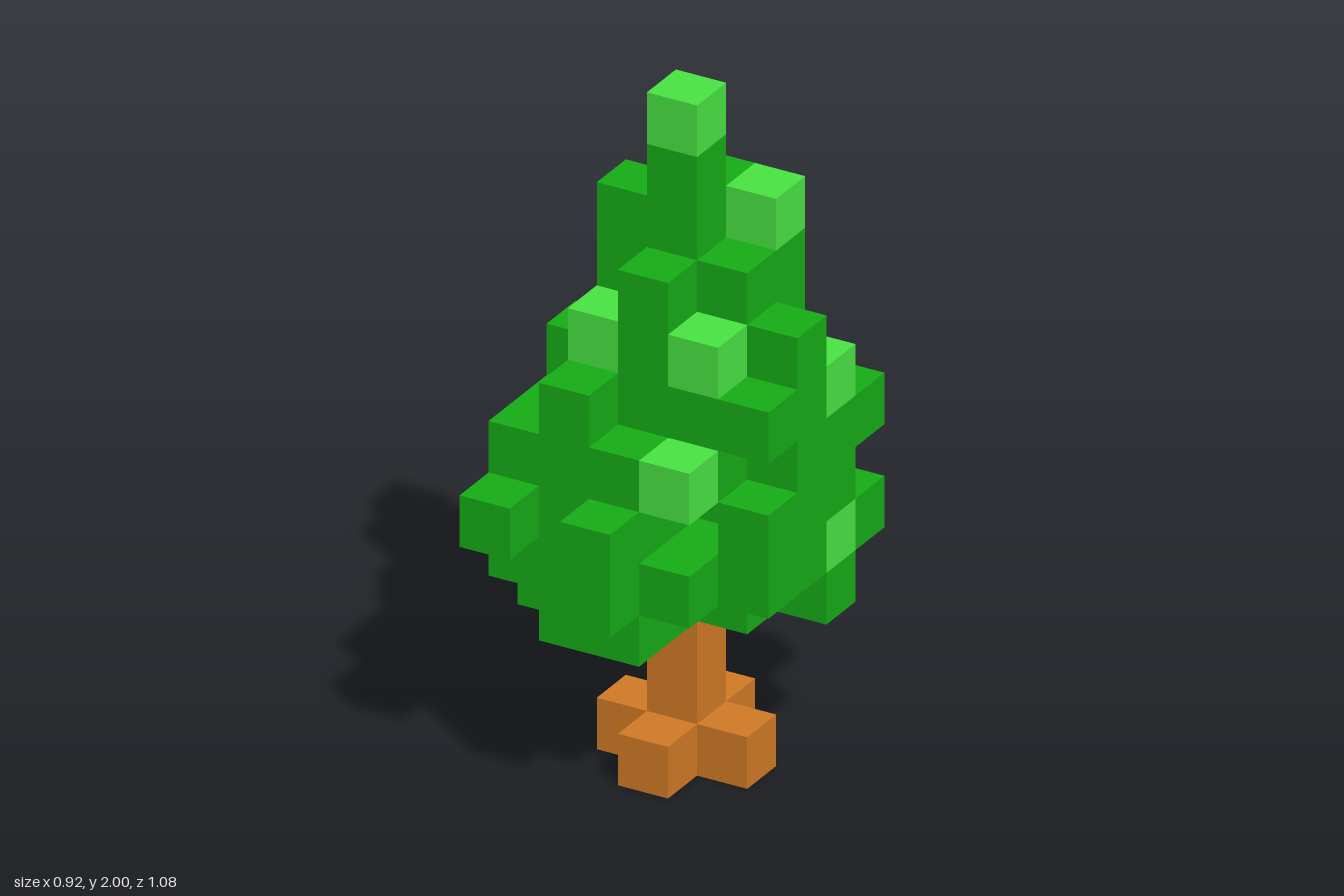
import * as THREE from 'three';
import { mergeGeometries } from 'three/addons/utils/BufferGeometryUtils.js';

const U = 2 / 13; // block size: the tree is 13 blocks tall

// One entry per layer, bottom to top. Rows run back to front, columns run -x to +x.
// B = bark, G = leaf, L = light leaf
const E = '......';
const TRUNK = [E, E, E, '...B..', E, E, E];
const LAYERS = [
  [E, E, '...B..', '..BBB.', '...B..', E, E],
  TRUNK,
  TRUNK,
  [E, '...L..', '.GGGGG', '.GGGG.', '.GGG..', '..GG..', E],
  ['..G...', '.LGGGG', '.GGGGL', 'GGGGGG', '.GGGGG', '.GGGG.', '...G..'],
  [E, '..GLG.', '.GGGGG', '.GGGGG', '.GGG.G', '.GGG..', '.G.G..'],
  [E, '...GGG', '..GGGG', '.LGGGG', '.GGGG.', '.GGGL.', E],
  [E, E, '..GGGL', '.GGGGG', '..GGGG', '..G...', E],
  [E, '..G...', '..GGG.', '..GGGG', '..LGL.', E, E],
  [E, E, '..GGG.', '..GGG.', '...G..', E, E],
  [E, E, '...GL.', '..GG..', E, E, E],
  [E, E, E, '...G..', E, E, E],
  [E, E, E, '...L..', E, E, E],
];

const blockAt = (i, j, k) => LAYERS[j]?.[k]?.[i] ?? '.';

// Block sides: direction and the turn that points a plane that way
const SIDES = [
  [1, 0, 0, 0, Math.PI / 2], [-1, 0, 0, 0, -Math.PI / 2],
  [0, 1, 0, -Math.PI / 2, 0], [0, -1, 0, Math.PI / 2, 0],
  [0, 0, 1, 0, 0], [0, 0, -1, 0, Math.PI],
];

// Joins the exposed sides of all blocks of one kind in the given layers
function blocks(kind, from, to) {
  const faces = [];
  for (let j = from; j <= to; j++) {
    for (let k = 0; k < 7; k++) {
      for (let i = 0; i < 6; i++) {
        if (blockAt(i, j, k) !== kind) continue;
        for (const [dx, dy, dz, rx, ry] of SIDES) {
          if (blockAt(i + dx, j + dy, k + dz) !== '.') continue;
          faces.push(new THREE.PlaneGeometry(U, U).rotateX(rx).rotateY(ry).translate(
            (i - 2.5 + dx / 2) * U, (j + 0.5 + dy / 2) * U, (k - 3 + dz / 2) * U));
        }
      }
    }
  }
  return mergeGeometries(faces);
}

export function createModel() {
  const material = (name, color) => {
    const m = new THREE.MeshStandardMaterial({ color });
    m.name = name;
    return m;
  };
  const bark = material('bark', 0xd47c26);
  const leaf = material('leaf green', 0x16af16);
  const lightLeaf = material('light leaf green', 0x4ae844);

  const tree = new THREE.Group();
  tree.name = 'tree';
  const add = (name, mat, kind, from, to) => {
    const mesh = new THREE.Mesh(blocks(kind, from, to), mat);
    mesh.name = name;
    tree.add(mesh);
  };

  add('roots', bark, 'B', 0, 0);
  add('trunk', bark, 'B', 1, 2);
  add('foliage', leaf, 'G', 3, 10);
  add('lightLeaves', lightLeaf, 'L', 3, 10);
  add('topStem', leaf, 'G', 11, 11);
  add('treeTip', lightLeaf, 'L', 12, 12);
  return tree;
}
